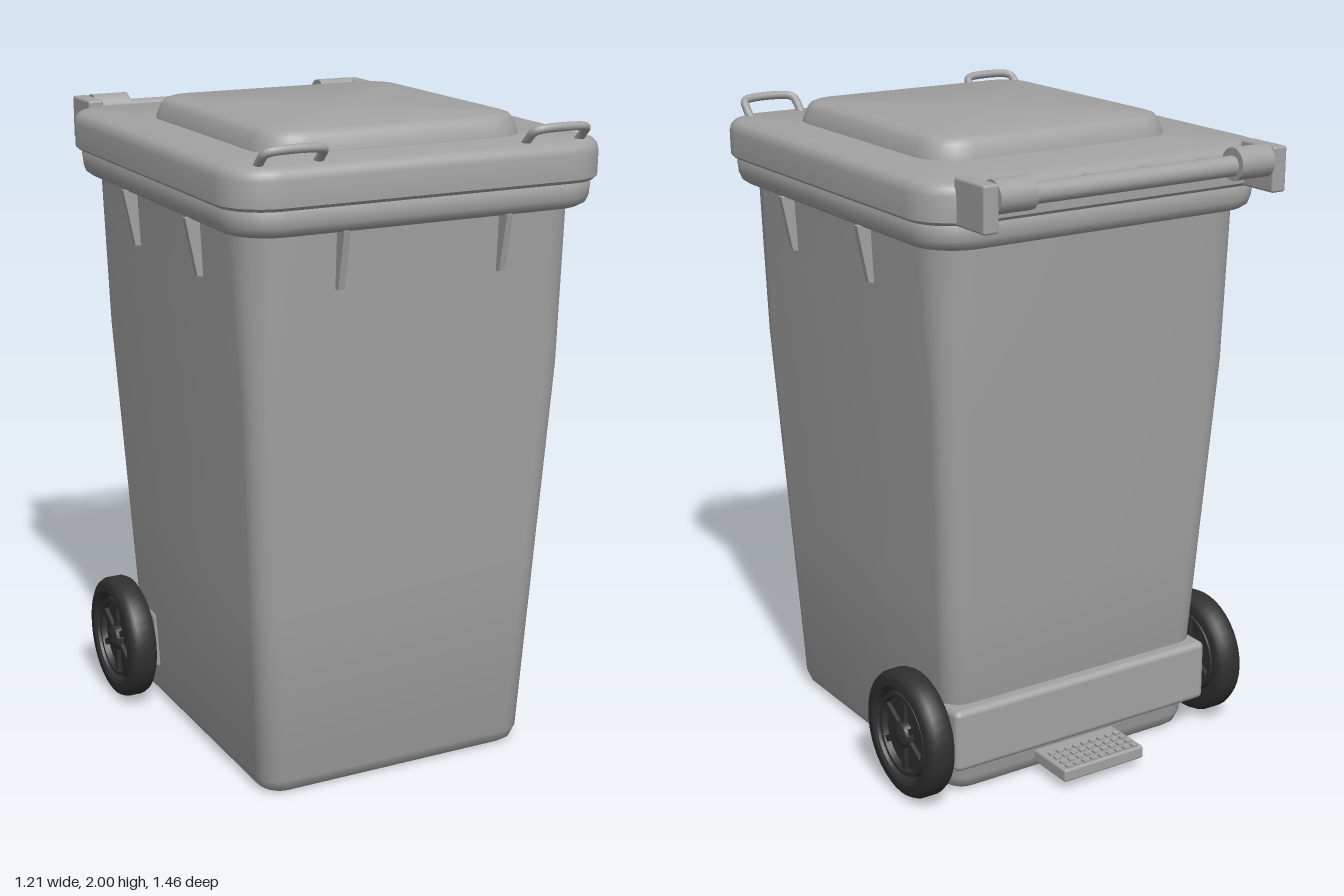
import * as THREE from 'three';
import { toCreasedNormals } from 'three/addons/utils/BufferGeometryUtils.js';
import { RoundedBoxGeometry } from 'three/addons/geometries/RoundedBoxGeometry.js';

const plastic = new THREE.MeshStandardMaterial({ color: 0xa2a2a2 });
plastic.name = 'grey plastic';
const rubber = new THREE.MeshStandardMaterial({ color: 0x303030 });
rubber.name = 'dark rubber';

function add(parent, name, geometry, material, x = 0, y = 0, z = 0) {
  const mesh = new THREE.Mesh(geometry, material);
  mesh.name = name;
  mesh.position.set(x, y, z);
  parent.add(mesh);
  return mesh;
}

// Skin over rounded rectangles, each [y, half width, back z, front z, corner radius], bottom to top
function loft(rings, dome = 0) {
  const seg = 7, n = 4 * (seg + 1), pos = [], index = [];
  for (const [y, hx, zb, zf, r] of rings) {
    const corners = [[hx - r, zf - r], [r - hx, zf - r], [r - hx, zb + r], [hx - r, zb + r]];
    corners.forEach(([cx, cz], q) => {
      for (let i = 0; i <= seg; i++) {
        const a = (q + i / seg) * Math.PI / 2;
        pos.push(cx + r * Math.cos(a), y, cz + r * Math.sin(a));
      }
    });
  }
  const last = rings.length - 1, low = rings.length * n, high = low + 1;
  const first = rings[0], top = rings[last];
  pos.push(0, first[0], (first[2] + first[3]) / 2, 0, top[0] + dome, (top[2] + top[3]) / 2);
  for (let i = 0; i < n; i++) {
    const j = (i + 1) % n;
    for (let k = 0; k < last; k++) {
      const a = k * n + i, b = k * n + j;
      index.push(a, a + n, b, b, a + n, b + n);
    }
    index.push(low, i, j, high, last * n + j, last * n + i);
  }
  const g = new THREE.BufferGeometry();
  g.setAttribute('position', new THREE.Float32BufferAttribute(pos, 3));
  g.setIndex(index);
  return toCreasedNormals(g, 0.7);
}

// Triangular gusset: top edge sticks out along +x, outer edge runs down to a point
function gusset() {
  const s = new THREE.Shape();
  s.moveTo(-0.04, 0);
  s.lineTo(0.047, 0);
  s.lineTo(0.012, -0.17);
  s.lineTo(-0.04, -0.18);
  const g = new THREE.ExtrudeGeometry(s, { depth: 0.02, bevelEnabled: false });
  return g.translate(0, 0, -0.01);
}

// Wheel about the y axis, its outer side facing +y
function makeWheel() {
  const wheel = new THREE.Group();
  const lathe = (pts) => toCreasedNormals(
    new THREE.LatheGeometry(pts.map(([r, y]) => new THREE.Vector2(r, y)), 40), 0.6);
  add(wheel, 'tyre', lathe([
    [0.14, -0.02], [0.145, -0.038], [0.155, -0.045], [0.18, -0.045], [0.192, -0.038], [0.2, -0.022],
    [0.2, 0.022], [0.192, 0.038], [0.18, 0.045], [0.155, 0.045], [0.145, 0.038], [0.14, 0.02], [0.14, -0.02],
  ]), rubber);
  add(wheel, 'wheelDisc', new THREE.CylinderGeometry(0.142, 0.142, 0.03, 40), rubber);
  add(wheel, 'wheelRim', lathe([
    [0.115, -0.015], [0.118, -0.034], [0.13, -0.034], [0.133, -0.015],
    [0.133, 0.015], [0.13, 0.034], [0.118, 0.034], [0.115, 0.015],
  ]), rubber);
  add(wheel, 'hub', lathe([
    [0, -0.045], [0.025, -0.042], [0.042, -0.026], [0.042, 0.026], [0.036, 0.037], [0.022, 0.044], [0, 0.047],
  ]), rubber);
  for (let i = 0; i < 6; i++) {
    const g = new THREE.BoxGeometry(0.085, 0.056, 0.02);
    g.translate(0.077, 0, 0);
    add(wheel, 'spoke', g, rubber).rotation.y = i * Math.PI / 3;
  }
  return wheel;
}

export function createModel() {
  const bin = new THREE.Group();
  bin.name = 'wheeledBin';

  // Tapered container, its corners widening towards the top
  add(bin, 'body', loft([
    [0, 0.425, -0.405, 0.535, 0.06],
    [0.012, 0.44, -0.42, 0.55, 0.065],
    [0.045, 0.453, -0.432, 0.562, 0.07],
    [0.65, 0.484, -0.47, 0.597, 0.075],
    [1.25, 0.515, -0.51, 0.633, 0.08],
    [1.5, 0.528, -0.526, 0.648, 0.11],
    [1.76, 0.541, -0.543, 0.663, 0.14],
  ]), plastic);

  // Rim under the lid
  add(bin, 'rim', loft([
    [1.735, 0.565, -0.56, 0.69, 0.13],
    [1.745, 0.578, -0.573, 0.705, 0.135],
    [1.765, 0.585, -0.58, 0.714, 0.14],
    [1.8, 0.588, -0.583, 0.716, 0.14],
    [1.825, 0.575, -0.57, 0.703, 0.13],
  ]), plastic);

  // Lid with rounded upper edge, and raised panel
  add(bin, 'lid', loft([
    [1.812, 0.592, -0.587, 0.717, 0.13],
    [1.822, 0.603, -0.597, 0.727, 0.14],
    [1.895, 0.604, -0.598, 0.728, 0.14],
    [1.914, 0.599, -0.593, 0.723, 0.135],
    [1.926, 0.587, -0.581, 0.711, 0.123],
    [1.932, 0.568, -0.562, 0.692, 0.105],
  ]), plastic);
  add(bin, 'lidPanel', loft([
    [1.92, 0.43, -0.34, 0.56, 0.13],
    [1.94, 0.428, -0.338, 0.558, 0.128],
    [1.975, 0.412, -0.322, 0.542, 0.112],
    [1.988, 0.402, -0.312, 0.532, 0.102],
    [1.994, 0.385, -0.295, 0.515, 0.086],
  ], 0.006), plastic);

  // Gussets below the rim on the front and both sides
  const rib = gusset();
  for (const s of [-1, 1]) {
    add(bin, 'frontGusset', rib, plastic, s * 0.26, 1.738, 0.657).rotation.y = -Math.PI / 2;
    for (const z of [0.33, -0.14]) {
      add(bin, 'sideGusset', rib, plastic, s * 0.537, 1.738, z).rotation.y = s > 0 ? 0 : Math.PI;
    }
  }

  // Rear grab bar with sleeves, end brackets and hinge arms
  const bar = add(bin, 'grabBar', new THREE.CylinderGeometry(0.03, 0.03, 0.96, 24), plastic, 0, 1.9, -0.682);
  bar.rotation.z = Math.PI / 2;
  for (const s of [-1, 1]) {
    const sleeve = add(bin, 'barSleeve', new THREE.CylinderGeometry(0.048, 0.048, 0.12, 24), plastic, s * 0.41, 1.905, -0.682);
    sleeve.rotation.z = Math.PI / 2;
    add(bin, 'barBracket', new RoundedBoxGeometry(0.05, 0.135, 0.15, 2, 0.008), plastic, s * 0.495, 1.88, -0.647);
    for (const x of [0.1, 0.305]) {
      add(bin, 'hingeArm', new RoundedBoxGeometry(0.03, 0.05, 0.1, 2, 0.008), plastic, s * x, 1.89, -0.622);
    }
  }

  // Tilted lifting loops on the front corners of the lid
  for (const s of [-1, 1]) {
    const pts = [[0.33, 1.92, 0.655], [0.33, 1.955, 0.69], [0.333, 1.968, 0.705], [0.35, 1.975, 0.715],
      [0.49, 1.975, 0.715], [0.507, 1.968, 0.705], [0.51, 1.955, 0.69], [0.51, 1.92, 0.655]];
    const path = new THREE.CatmullRomCurve3(pts.map(([x, y, z]) => new THREE.Vector3(s * x, y, z)), false, 'centripetal');
    add(bin, 'lidLoop', new THREE.TubeGeometry(path, 40, 0.013, 10), plastic);
  }

  // Axle housing, axle and wheels
  add(bin, 'axleHousing', new RoundedBoxGeometry(0.945, 0.2, 0.25, 3, 0.02), plastic, 0, 0.205, -0.365);
  const axle = add(bin, 'axle', new THREE.CylinderGeometry(0.02, 0.02, 1.04, 20), plastic, 0, 0.205, -0.342);
  axle.rotation.z = Math.PI / 2;
  for (const s of [-1, 1]) {
    const wheel = makeWheel();
    wheel.name = s > 0 ? 'leftWheel' : 'rightWheel';
    wheel.position.set(s * 0.545, 0.205, -0.342);
    wheel.rotation.z = -s * Math.PI / 2;
    bin.add(wheel);
  }

  // Foot step with studded tread
  add(bin, 'footStep', new RoundedBoxGeometry(0.3, 0.042, 0.22, 2, 0.008), plastic, 0, 0.05, -0.487);
  for (let i = 0; i < 9; i++) {
    for (let j = 0; j < 4; j++) {
      add(bin, 'treadStud', new THREE.BoxGeometry(0.02, 0.008, 0.018), plastic, (i - 4) * 0.031, 0.074, -0.58 + j * 0.031);
    }
  }
  return bin;
}
